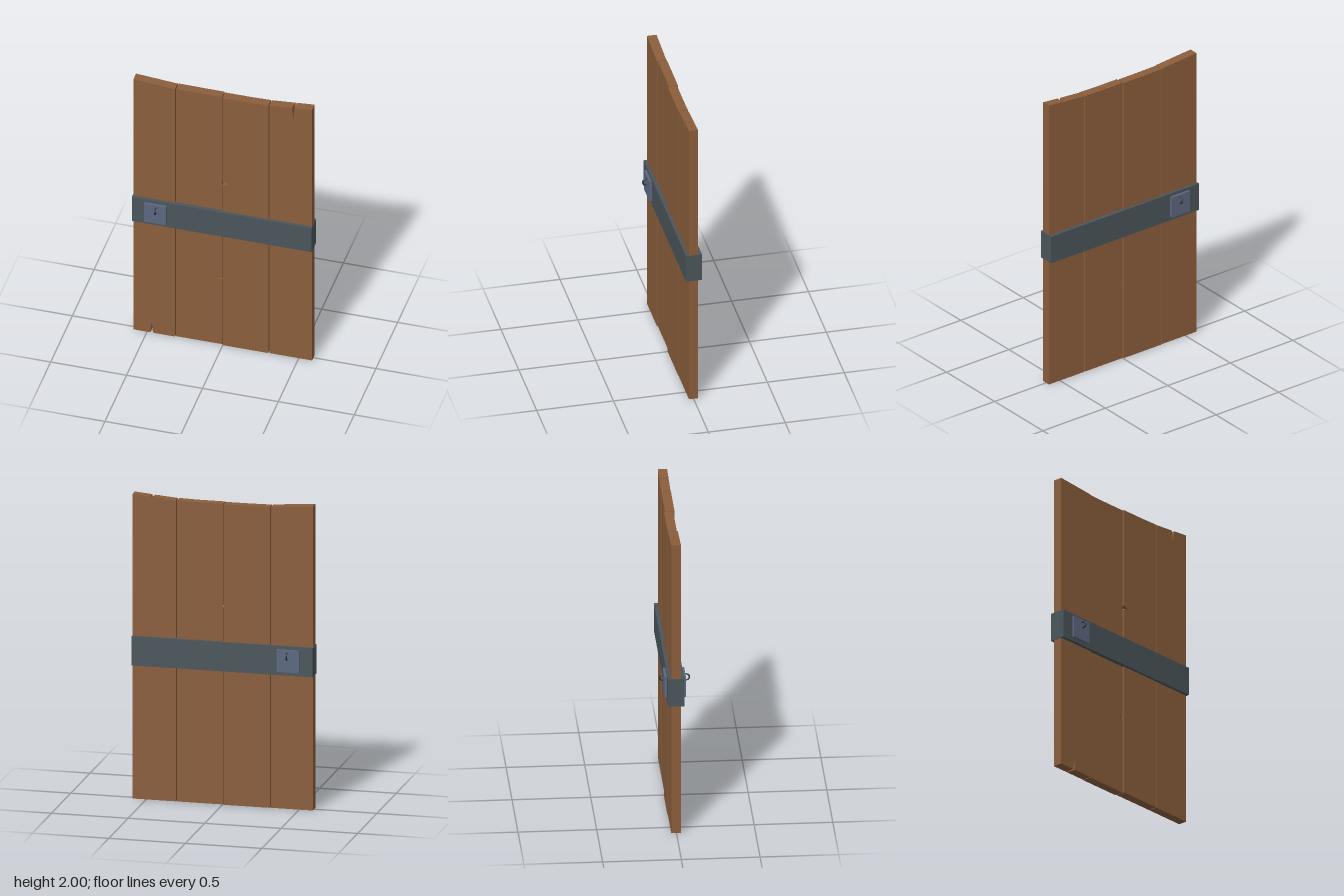
import * as THREE from 'three';

const wood = new THREE.MeshStandardMaterial({ color: 0x8b5e3c });
wood.name = 'brown wood';
const iron = new THREE.MeshStandardMaterial({ color: 0x4a555a });
iron.name = 'grey iron';
const steel = new THREE.MeshStandardMaterial({ color: 0x5c6880 });
steel.name = 'blue steel';
const dark = new THREE.MeshStandardMaterial({ color: 0x2e343c });
dark.name = 'dark metal';

// Joins a front outline to a back outline (both counter-clockwise, same point count)
function loft(front, back, zFront, zBack) {
  const pos = [];
  const put = (p, z) => pos.push(p.x, p.y, z);
  for (const [a, b, c] of THREE.ShapeUtils.triangulateShape(front, [])) {
    [a, b, c].forEach((i) => put(front[i], zFront));
  }
  for (const [a, b, c] of THREE.ShapeUtils.triangulateShape(back, [])) {
    [a, c, b].forEach((i) => put(back[i], zBack));
  }
  front.forEach((p, i) => {
    const j = (i + 1) % front.length;
    put(p, zFront); put(back[i], zBack); put(front[j], zFront);
    put(front[j], zFront); put(back[i], zBack); put(back[j], zBack);
  });
  const geo = new THREE.BufferGeometry();
  geo.setAttribute('position', new THREE.Float32BufferAttribute(pos, 3));
  geo.computeVertexNormals();
  return geo;
}

// Outline points [x, y]; a chip tip is [x, y, backX, backY], fading out towards the back
function plank(name, points, zFront, zBack) {
  const front = points.map((p) => new THREE.Vector2(p[0], p[1]));
  const back = points.map((p) => new THREE.Vector2(p[2] ?? p[0], p[3] ?? p[1]));
  const mesh = new THREE.Mesh(loft(front, back, zFront, zBack), wood);
  mesh.name = name;
  return mesh;
}

function box(name, material, min, max) {
  const size = max.map((v, i) => v - min[i]);
  const mesh = new THREE.Mesh(new THREE.BoxGeometry(...size), material);
  mesh.position.set(...max.map((v, i) => (v + min[i]) / 2));
  mesh.name = name;
  return mesh;
}

// Curved hook standing out of the lock plate, side = 1 front, -1 back
function hook(side) {
  const points = [];
  for (let i = 0; i <= 12; i++) {
    const a = THREE.MathUtils.degToRad(125 - i * 19);
    points.push(new THREE.Vector3(-0.43, 1.011 + 0.02 * Math.sin(a), side * (0.074 + 0.02 * Math.cos(a))));
  }
  const curve = new THREE.CatmullRomCurve3(points);
  const group = new THREE.Group();
  group.add(new THREE.Mesh(new THREE.TubeGeometry(curve, 24, 0.005, 8), dark));
  // Rounded tip
  const tip = new THREE.Mesh(new THREE.SphereGeometry(0.005, 8, 6), dark);
  tip.position.copy(points[points.length - 1]);
  group.add(tip);
  group.name = side > 0 ? 'frontHook' : 'backHook';
  return group;
}

export function createModel() {
  const model = new THREE.Group();
  model.name = 'plankDoor';

  // Four planks with a dished top edge and small chips
  model.add(
    plank('outerRightPlank', [
      [-0.59, 0], [-0.478, 0], [-0.468, 0.075, -0.468, 0], [-0.458, 0],
      [-0.315, 0], [-0.315, 1.975], [-0.59, 1.997],
    ], 0.029, -0.033),
    plank('innerRightPlank', [
      [-0.309, 0], [-0.007, 0], [-0.007, 0.515], [-0.042, 0.521, -0.007, 0.521],
      [-0.007, 0.528], [-0.007, 1.973], [-0.14, 1.973], [-0.309, 1.975],
    ], 0.023, -0.036),
    plank('innerLeftPlank', [
      [-0.002, 0], [0.3, 0], [0.3, 1.976], [0.17, 1.973], [-0.002, 1.973],
      [-0.002, 1.306], [0.037, 1.291, -0.002, 1.291], [-0.002, 1.278],
    ], 0.032, -0.029),
    plank('outerLeftPlank', [
      [0.306, 0], [0.588, 0], [0.588, 2], [0.474, 1.99],
      [0.464, 1.907, 0.464, 1.989], [0.454, 1.988], [0.306, 1.976],
    ], 0.03, -0.029),
  );

  // Iron band wrapped round the middle
  model.add(box('ironBand', iron, [-0.594, 0.88, -0.054], [0.591, 1.07, 0.05]));

  // Lock plate and hook on both faces
  model.add(
    box('frontLockPlate', steel, [-0.509, 0.905, 0.045], [-0.363, 1.05, 0.066]),
    box('backLockPlate', steel, [-0.509, 0.905, -0.07], [-0.363, 1.05, -0.05]),
    hook(1),
    hook(-1),
  );
  return model;
}
